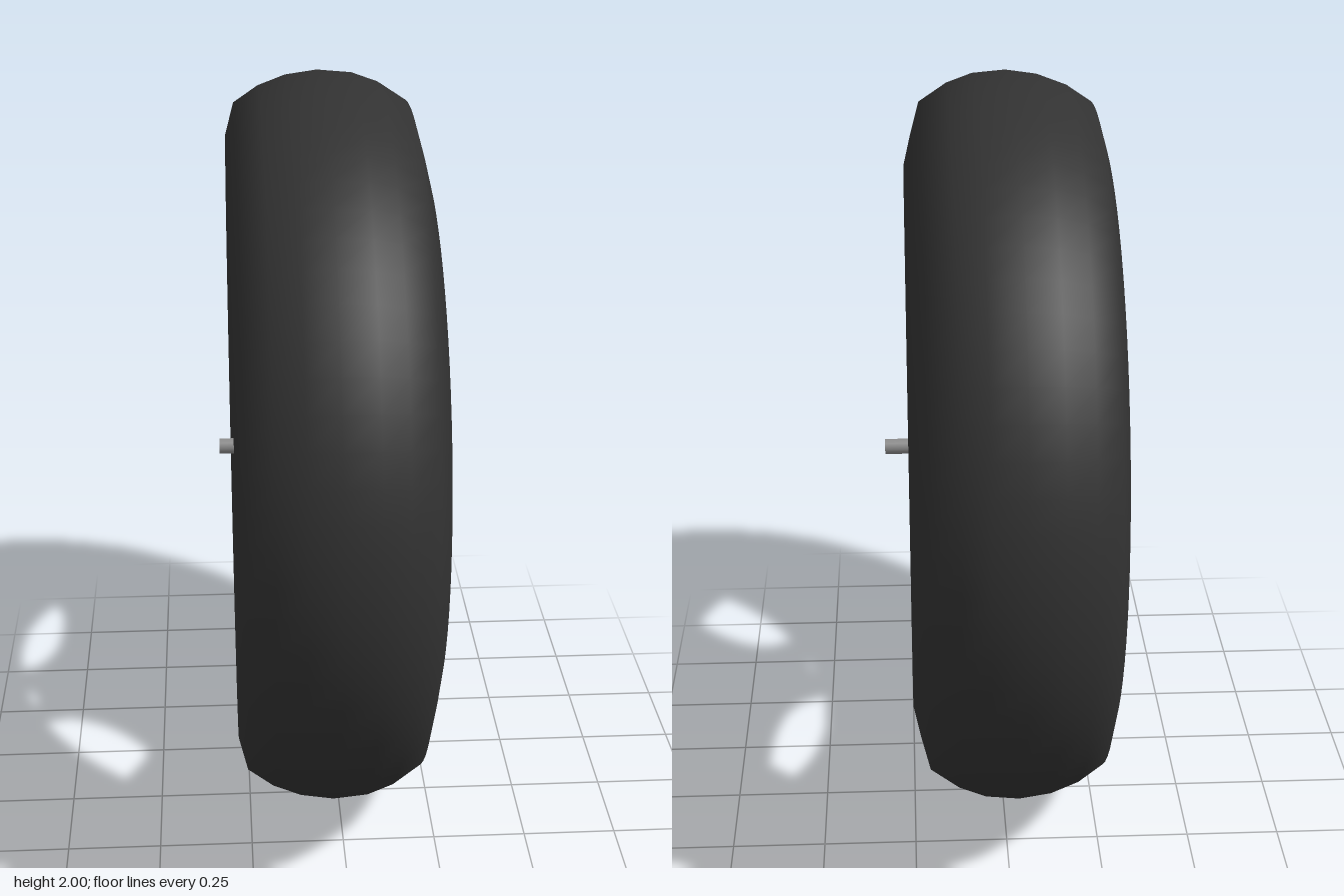
import * as THREE from 'three';
import { toCreasedNormals } from 'three/addons/utils/BufferGeometryUtils.js';

const rubber = new THREE.MeshStandardMaterial({ name: 'black rubber', color: 0x323232 });
const metal = new THREE.MeshStandardMaterial({ name: 'grey metal', color: 0x8c8c8c });

// Turns a profile of [radius, x] points around the x axis.
function turned(name, profile, material, segments, crease) {
  let geometry = new THREE.LatheGeometry(profile.map(([r, x]) => new THREE.Vector2(r, x)), segments);
  geometry.rotateZ(-Math.PI / 2);
  if (crease) geometry = toCreasedNormals(geometry, crease);
  const mesh = new THREE.Mesh(geometry, material);
  mesh.name = name;
  return mesh;
}

// Three-armed spoke plate, drawn in the wheel plane (right = -z, up = y).
function spokePlate() {
  const shape = new THREE.Shape();
  shape.moveTo(0.54, 0.845);
  shape.lineTo(0.52, 1.225);
  shape.bezierCurveTo(0.32, 1.17, 0.12, 1.17, 0.0, 1.31);
  shape.lineTo(-0.105, 1.54);
  shape.lineTo(-0.41, 1.365);
  shape.bezierCurveTo(-0.29, 1.25, -0.23, 1.14, -0.232, 1.01);
  shape.bezierCurveTo(-0.235, 0.88, -0.29, 0.79, -0.44, 0.66);
  shape.lineTo(-0.095, 0.455);
  shape.bezierCurveTo(-0.03, 0.78, 0.15, 0.88, 0.54, 0.845);

  const holes = [
    [[-0.25, 1.42], [-0.165, 1.435], [-0.118, 1.375], [-0.122, 1.3], [-0.18, 1.257], [-0.235, 1.265], [-0.285, 1.345]],
    [[0.41, 1.118], [0.492, 1.123], [0.513, 1.05], [0.492, 0.97], [0.415, 0.963], [0.363, 1.03], [0.375, 1.1]],
    [[-0.278, 0.717], [-0.192, 0.733], [-0.15, 0.685], [-0.155, 0.615], [-0.203, 0.556], [-0.278, 0.583], [-0.305, 0.65]],
  ];
  for (const points of holes) {
    shape.holes.push(new THREE.Path(points.map(([u, v]) => new THREE.Vector2(u, v))));
  }
  const extruded = new THREE.ExtrudeGeometry(shape, {
    depth: 0.04, curveSegments: 16,
    bevelThickness: 0.015, bevelSize: 0.015, bevelOffset: -0.015, bevelSegments: 3,
  });
  extruded.rotateY(Math.PI / 2);
  const mesh = new THREE.Mesh(toCreasedNormals(extruded, 0.7), metal);
  mesh.name = 'spokePlate';
  mesh.position.x = 0.045;
  return mesh;
}

export function createModel() {
  const group = new THREE.Group();
  group.name = 'wheel';

  // Tyre, slightly wider on one shoulder
  const tyre = turned('tyre', [
    [0.615, -0.225], [0.68, -0.262], [0.75, -0.28], [0.83, -0.28], [0.915, -0.257],
    [0.96, -0.19], [0.988, -0.115], [1, -0.03], [0.992, 0.06], [0.967, 0.13],
    [0.917, 0.206], [0.83, 0.23], [0.745, 0.25], [0.68, 0.243], [0.615, 0.215],
  ], rubber, 72);

  // Rim barrel with a stepped lip on both sides
  const rim = turned('rim', [
    [0.63, 0.2], [0.622, 0.222], [0.606, 0.222], [0.597, 0.205], [0.585, 0.19],
    [0.578, 0.15], [0.565, 0.138], [0.552, 0.128], [0.547, 0.1], [0.545, -0.02],
    [0.547, -0.13], [0.552, -0.15], [0.565, -0.16], [0.578, -0.17], [0.585, -0.2],
    [0.597, -0.215], [0.606, -0.232], [0.622, -0.232], [0.63, -0.21],
  ], metal, 72, 0.6);

  for (const part of [tyre, rim]) part.position.y = 1;

  // Domed hub, flaring into the plate on each face
  const hub = turned('hub', [
    [0, 0.005], [0.08, 0.009], [0.13, 0.016], [0.16, 0.028], [0.18, 0.045], [0.18, 0.1],
    [0.165, 0.115], [0.14, 0.127], [0.08, 0.136], [0, 0.14],
  ], metal, 40, 0.7);
  hub.position.set(0, 0.97, -0.02);

  // Axle through the hub
  const axleGeometry = new THREE.CylinderGeometry(0.021, 0.021, 0.63, 16);
  axleGeometry.rotateZ(-Math.PI / 2);
  const axle = new THREE.Mesh(axleGeometry, metal);
  axle.name = 'axle';
  axle.position.set(0, 0.97, -0.002);

  group.add(tyre, rim, spokePlate(), hub, axle);
  return group;
}
